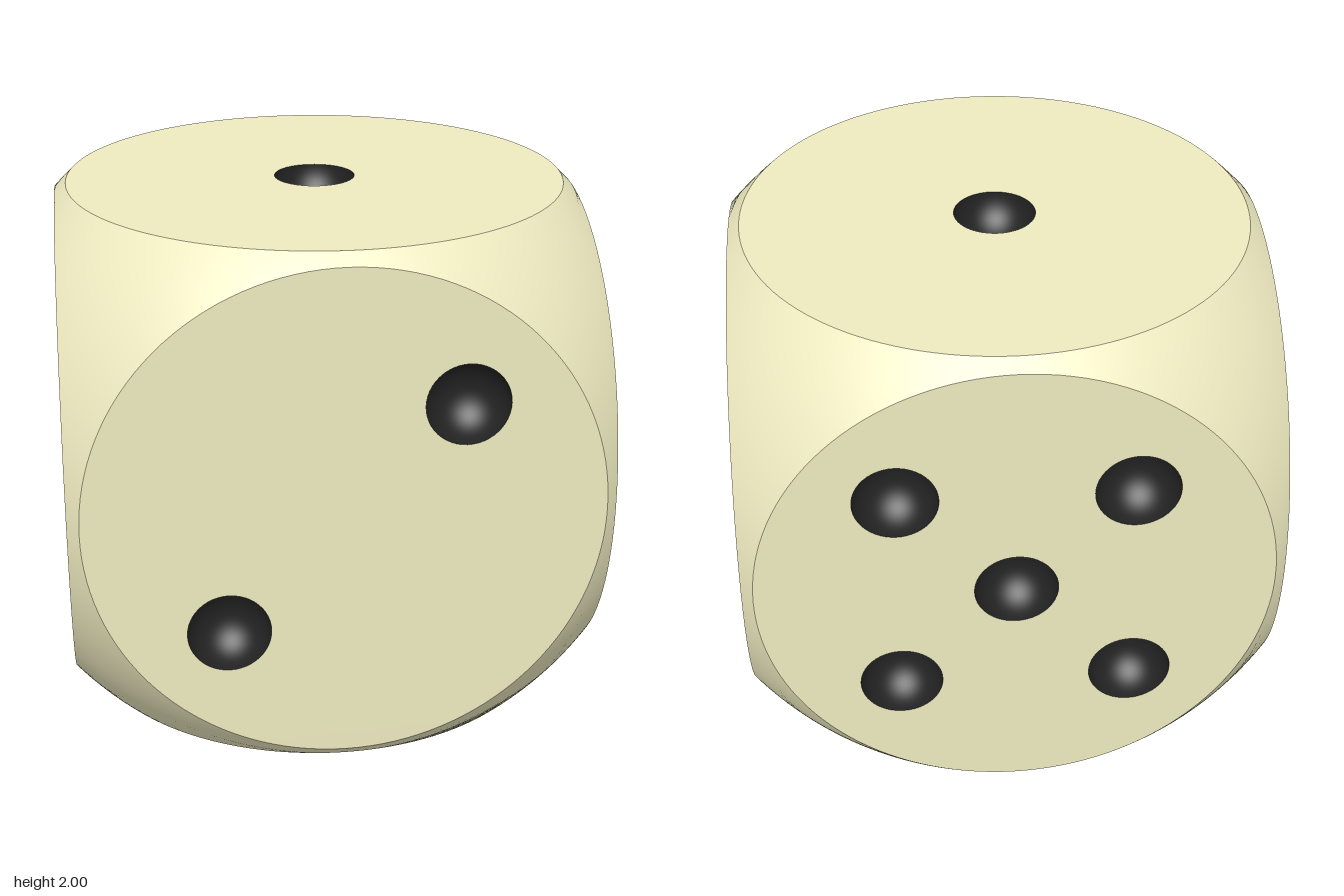
import * as THREE from 'three';

const FACE_R = 0.955;                    // radius of each flat round face
const BALL_R = Math.hypot(1, FACE_R);    // sphere that rounds the cube
const PIP_R = 0.154;
const D = 0.43;                          // pip offset from the face centre
const QUARTER = 32;                      // segments per quarter of a face circle

const ivory = new THREE.MeshStandardMaterial({ color: 0xeeeac0 });
const black = new THREE.MeshStandardMaterial({ color: 0x222222, side: THREE.BackSide });

function circlePoints(cx, cy, r, n) {
  return Array.from({ length: n }, (_, i) => {
    const a = (i / n) * Math.PI * 2;
    return new THREE.Vector2(cx + r * Math.cos(a), cy + r * Math.sin(a));
  });
}

// Spherical patch of one octant, bounded by the arcs of three faces
function cornerGeometry(sx, sy, sz) {
  const rim = [];
  for (let k = 0; k < 3; k++) {
    for (let i = 0; i <= QUARTER; i++) {
      const t = (i / QUARTER) * Math.PI / 2;
      const p = [0, 0, 0];
      p[k] = 1;
      p[(k + 1) % 3] = FACE_R * Math.sin(t);
      p[(k + 2) % 3] = FACE_R * Math.cos(t);
      rim.push(new THREE.Vector3(...p));
    }
  }
  const rings = 16, n = rim.length;
  const centre = new THREE.Vector3(1, 1, 1).setLength(BALL_R);
  const mirror = new THREE.Vector3(sx, sy, sz);
  const flip = sx * sy * sz < 0;
  const positions = [], normals = [], index = [];
  for (let j = 0; j <= rings; j++) {
    for (const b of rim) {
      const v = centre.clone().lerp(b, j / rings).setLength(BALL_R).multiply(mirror);
      positions.push(v.x, v.y, v.z);
      v.normalize();
      normals.push(v.x, v.y, v.z);
    }
  }
  const tri = (a, b, c) => (flip ? index.push(a, c, b) : index.push(a, b, c));
  for (let j = 0; j < rings; j++) {
    for (let i = 0; i < n; i++) {
      const a = j * n + i, b = j * n + (i + 1) % n;
      if (j > 0) tri(a, b + n, b);
      tri(a, a + n, b + n);
    }
  }
  const g = new THREE.BufferGeometry();
  g.setAttribute('position', new THREE.Float32BufferAttribute(positions, 3));
  g.setAttribute('normal', new THREE.Float32BufferAttribute(normals, 3));
  g.setIndex(index);
  return g;
}

// Hollow half sphere sunk below its face
const bowl = new THREE.SphereGeometry(PIP_R, 48, 16, 0, Math.PI * 2, Math.PI / 2, Math.PI / 2);
bowl.rotateX(Math.PI / 2);

// Flat round face with a hole and a bowl for every pip
function makeFace(name, pips, rx, ry) {
  const face = new THREE.Group();
  face.name = name;
  const shape = new THREE.Shape(circlePoints(0, 0, FACE_R, QUARTER * 4));
  for (const [x, y] of pips) {
    shape.holes.push(new THREE.Path(circlePoints(x, y, PIP_R, 48)));
    const pip = new THREE.Mesh(bowl, black);
    pip.name = 'pip';
    pip.position.set(x, y, 1);
    face.add(pip);
  }
  const plate = new THREE.Mesh(new THREE.ShapeGeometry(shape), ivory);
  plate.name = 'flatFace';
  plate.position.z = 1;
  face.add(plate);
  face.rotation.set(rx, ry, 0);
  return face;
}

export function createModel() {
  const model = new THREE.Group();
  model.name = 'die';
  const die = new THREE.Group();
  die.name = 'dieBody';
  die.position.y = 1;
  model.add(die);

  // Rounded corners
  for (const sx of [1, -1]) for (const sy of [1, -1]) for (const sz of [1, -1]) {
    const corner = new THREE.Mesh(cornerGeometry(sx, sy, sz), ivory);
    corner.name = 'roundedCorner';
    die.add(corner);
  }

  // Six faces with their pips
  const mid = [0, 0];
  const rising = [[D, D], [-D, -D]];
  const falling = [[-D, D], [D, -D]];
  const four = [...rising, ...falling];
  const H = Math.PI / 2;
  die.add(
    makeFace('topFaceOne', [mid], -H, 0),
    makeFace('frontFaceTwo', rising, 0, 0),
    makeFace('rightFaceThree', [...falling, mid], 0, -H),
    makeFace('leftFaceFour', four, 0, H),
    makeFace('backFaceFive', [...four, mid], 0, Math.PI),
    makeFace('bottomFaceSix', [...four, [-D, 0], [D, 0]], H, 0),
  );
  return model;
}
